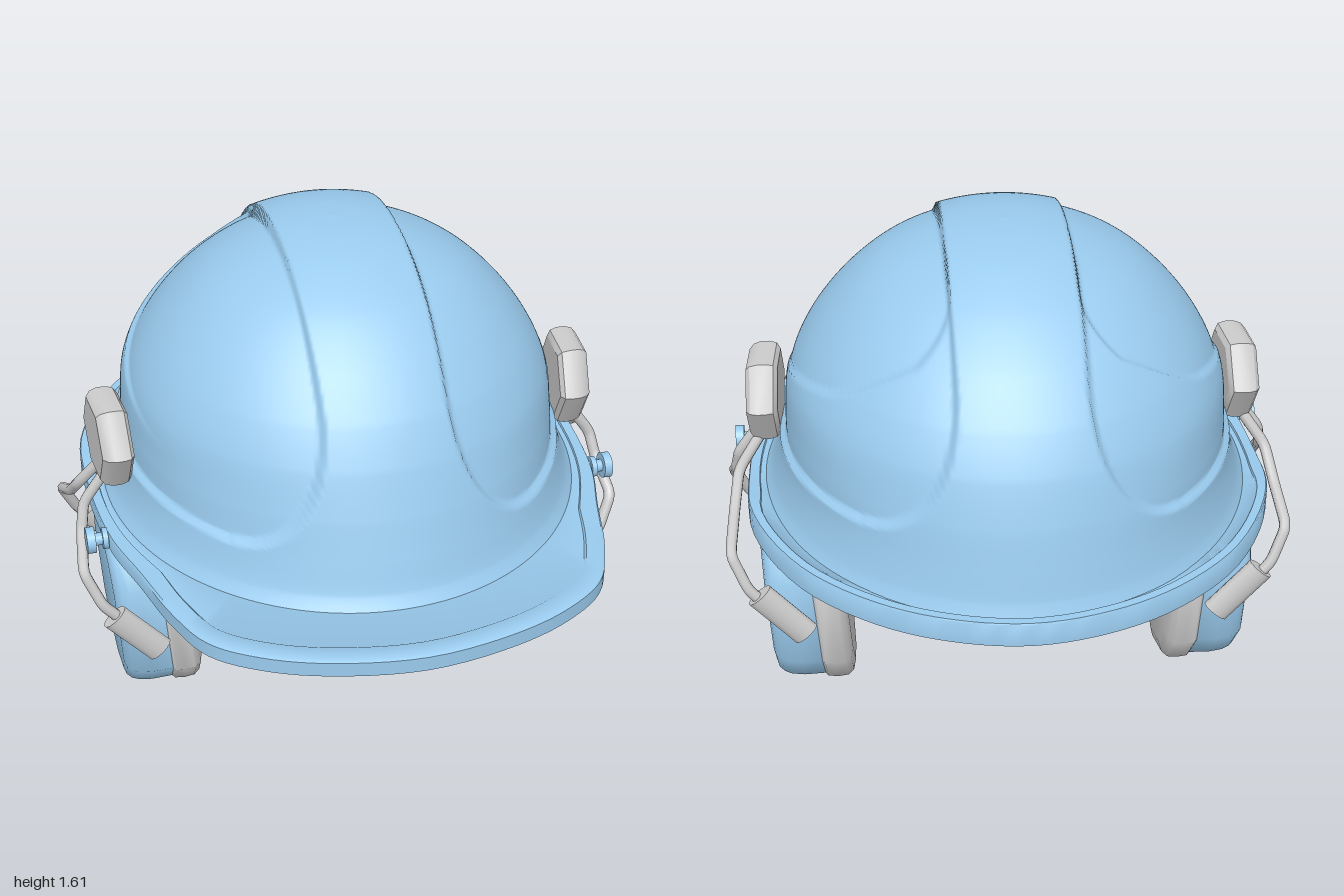
import * as THREE from 'three';
import { toCreasedNormals } from 'three/addons/utils/BufferGeometryUtils.js';

const V = (x, y, z) => new THREE.Vector3(x, y, z);
const grey = new THREE.MeshStandardMaterial({ color: 0xcccccc });
const blue = new THREE.MeshStandardMaterial({ color: 0x9acbee });
const blueOpen = new THREE.MeshStandardMaterial({ color: 0x9acbee, side: THREE.DoubleSide });
const { smoothstep, clamp, lerp } = THREE.MathUtils;

function add(parent, name, geometry, material) {
  const mesh = new THREE.Mesh(geometry, material);
  mesh.name = name;
  parent.add(mesh);
  return mesh;
}

// Skins closed rings of points; faces are turned outward by the sign of the volume
function loft(rings, { caps = false, closed = false, crease = 0 } = {}) {
  const n = rings[0].length, pts = rings.flat(), tris = [];
  const last = closed ? rings.length : rings.length - 1;
  for (let i = 0; i < last; i++) {
    for (let j = 0; j < n; j++) {
      const k = (j + 1) % n, p = i * n, q = ((i + 1) % rings.length) * n;
      tris.push([p + j, q + j, q + k], [p + j, q + k, p + k]);
    }
  }
  if (caps) {
    for (const i of [0, rings.length - 1]) {
      const c = pts.length;
      pts.push(rings[i].reduce((s, p) => s.add(p), V(0, 0, 0)).divideScalar(n));
      for (let j = 0; j < n; j++) {
        const a = i * n + j, b = i * n + (j + 1) % n;
        tris.push(i === 0 ? [c, a, b] : [c, b, a]);
      }
    }
  }
  const mid = pts.reduce((s, p) => s.add(p), V(0, 0, 0)).divideScalar(pts.length);
  const rel = (i) => pts[i].clone().sub(mid);
  const volume = tris.reduce((s, [a, b, c]) => s + rel(a).dot(rel(b).cross(rel(c))), 0);
  if (volume < 0) tris.forEach((t) => t.reverse());
  const g = new THREE.BufferGeometry().setFromPoints(pts);
  g.setIndex(tris.flat());
  g.computeVertexNormals();
  return crease ? toCreasedNormals(g, crease) : g;
}

// Distance inside a corner with an elliptical fillet (positive is inside)
function filletCorner(u, v, ru, rv) {
  if (u < ru && v < rv) return (1 - Math.hypot(1 - u / ru, 1 - v / rv)) * Math.min(ru, rv);
  return Math.min(u, v);
}

// Dome sections: height, half width, front z, back z
const SECTIONS = [
  [0.735, 0.77, 0.78, -0.94], [0.79, 0.738, 0.745, -0.92], [0.88, 0.712, 0.715, -0.9],
  [1.0, 0.705, 0.675, -0.872], [1.14, 0.69, 0.62, -0.825], [1.26, 0.637, 0.555, -0.76],
  [1.39, 0.54, 0.45, -0.652], [1.5, 0.415, 0.32, -0.515], [1.58, 0.245, 0.155, -0.355],
  [1.608, 0.125, 0.03, -0.23], [1.617, 0.0004, -0.0996, -0.1004],
];
const widthCurve = new THREE.CatmullRomCurve3(SECTIONS.map(([y, w]) => V(w, y, 0)));
const depthCurve = new THREE.CatmullRomCurve3(SECTIONS.map(([, , f, b]) => V(f, b, 0)));
const LINING = 0.946;

function domePoint(t, a, scale = 1) {
  const w = widthCurve.getPoint(t), d = depthCurve.getPoint(t);
  const zc = (d.x + d.y) / 2, rz = (d.x - d.y) / 2;
  return V(w.x * scale * Math.cos(a), 0.7 + (w.y - 0.7) * scale, zc + rz * scale * Math.sin(a));
}

// Recessed side panels beside the crown ridge, with a deeper upper step that fades forward
function recess(p) {
  const side = Math.abs(p.x) - 0.185;
  const panel = filletCorner(side, p.y - (0.91 - 0.04 * p.z), 0.29, 0.42);
  const line = p.y - (1.05 + (0.28 - p.z) * 0.25);
  const step = Math.min(filletCorner(p.z + 0.58, line, 0.15, 0.18), filletCorner(side, p.z + 0.58, 0.17, 0.17));
  const depth = 0.02 * smoothstep(panel, 0, 0.015)
    + 0.014 * smoothstep(0.28 - p.z, 0, 0.6) * smoothstep(step, 0, 0.02);
  const out = p.clone().sub(V(0, 0.8, -0.08)).normalize();
  return p.addScaledVector(out, -depth);
}

function domeRings(rows, cols, scale, shape = (p) => p) {
  return Array.from({ length: rows + 1 }, (_, i) =>
    Array.from({ length: cols }, (_, j) => shape(domePoint(i / rows, (j / cols) * Math.PI * 2, scale))));
}

// Brim: right half of the outline, mirrored, hollow below, with a lip that becomes a rain gutter behind
function brimGeometry() {
  const half = [[0, 1], [0.286, 0.955], [0.47, 0.88], [0.6, 0.78], [0.675, 0.62], [0.735, 0.4], [0.79, 0.2],
    [0.815, -0.1], [0.8, -0.36], [0.656, -0.66], [0.444, -0.857], [0.23, -0.96], [0, -1]];
  const outline = [...half, ...half.slice(1, -1).reverse().map(([x, z]) => [-x, z])];
  const curve = new THREE.CatmullRomCurve3(outline.map(([x, z]) => V(x, 0, z)), true, 'centripetal');
  const rings = Array.from({ length: 120 }, (_, i) => {
    const o = curve.getPoint(i / 120);
    const a = Math.atan2((o.z + 0.08) / 0.86, o.x / 0.77);
    const inner = domePoint(0, a, LINING), wall = domePoint(0, a, 0.985);
    const back = smoothstep(-o.z, 0, 0.4);
    const gutter = smoothstep(-o.z, 0.76, 0.87);
    const gap = Math.hypot(o.x - wall.x, o.z - wall.z);
    const lip = clamp(lerp(0.065, 0.03, back) / gap, 0, 0.6);
    const edge = clamp(0.025 / gap, 0, 0.35);
    const at = (p, k, y) => V(lerp(o.x, p.x, k), y, lerp(o.z, p.z, k));
    const top = 0.753 + 0.024 * back;
    return [
      at(inner, 1, inner.y), at(inner, edge * 2, 0.722), at(inner, edge, 0.7), at(inner, 0, 0.7),
      at(wall, 0, top - 0.006), at(wall, 0.05, top), at(wall, lip, top),
      at(wall, Math.min(lip + 0.04, 0.9), top - 0.007 - 0.023 * gutter), at(wall, 1, 0.75),
    ];
  });
  return loft(rings, { closed: true, crease: 0.75 });
}

// Ear cup outline (z, y), and layers of [x, scale]
const CUP = [[-0.06, 0.685], [-0.27, 0.615], [-0.345, 0.49], [-0.345, 0.17], [-0.27, 0.06],
  [-0.1, 0.005], [0.08, 0.06], [0.165, 0.16], [0.17, 0.5], [0.1, 0.615]];
const PAD = [[0.522, 0.84], [0.532, 0.94], [0.552, 0.99], [0.585, 1], [0.617, 0.99], [0.628, 0.95]];
const SHELL = [[0.62, 0.96], [0.69, 0.965], [0.73, 0.95], [0.755, 0.92], [0.77, 0.87], [0.776, 0.8]];
const HUB = [[0.7, 0.84], [0.712, 0.96], [0.735, 1], [0.762, 1], [0.785, 0.95], [0.798, 0.84]];

// Scales an outline about (cz, cy) per layer; lean and yaw shear it along x
function layered(s, outline, layers, cy, cz, lean, yaw = 0) {
  return layers.map(([x, k]) => outline.map(([z, y]) => {
    const dy = (y - cy) * k, dz = (z - cz) * k;
    return V(s * (x + dy * lean + dz * yaw), cy + dy, cz + dz);
  }));
}

// Straight wire segments with tightly rounded bends
function wireGeometry(points) {
  const path = new THREE.CurvePath();
  let from = points[0];
  for (let i = 1; i < points.length - 1; i++) {
    const p = points[i];
    const a = p.clone().lerp(points[i - 1], 0.2), b = p.clone().lerp(points[i + 1], 0.2);
    path.add(new THREE.LineCurve3(from, a));
    path.add(new THREE.QuadraticBezierCurve3(a, p, b));
    from = b;
  }
  path.add(new THREE.LineCurve3(from, points.at(-1)));
  return new THREE.TubeGeometry(path, 48, 0.018, 8);
}

function earDefender(s) {
  const group = new THREE.Group();
  group.name = s > 0 ? 'leftEarDefender' : 'rightEarDefender';
  add(group, 'earPad', loft(layered(s, CUP, PAD, 0.345, -0.085, 0.075), { caps: true, crease: 0.8 }), grey);
  add(group, 'earCup', loft(layered(s, CUP, SHELL, 0.345, -0.085, 0.06), { caps: true, crease: 0.8 }), blue);

  // Hexagonal pivot
  const hex = Array.from({ length: 6 }, (_, i) =>
    [0.005 + 0.155 * Math.cos(i * Math.PI / 3), 1 + 0.155 * Math.sin(i * Math.PI / 3)]);
  add(group, 'pivotHub', loft(layered(s, hex, HUB, 1, 0.005, 0, -0.08), { caps: true, crease: 0.6 }), grey);

  // Two bent wires, each ending in a flattened sleeve
  const zPaths = [[0.012, 0.015, 0.05, 0.165, 0.2, 0.2], [-0.04, -0.1, -0.19, -0.335, -0.37, -0.375]];
  const xy = [[0.74, 0.92], [0.845, 0.775], [0.862, 0.69], [0.878, 0.61], [0.83, 0.5], [0.77, 0.43]];
  zPaths.forEach((zs, i) => {
    const name = i ? 'rear' : 'front';
    add(group, name + 'Wire', wireGeometry(xy.map(([x, y], k) => V(s * x, y, zs[k]))), grey);
    const sleeve = add(group, name + 'Sleeve', new THREE.CylinderGeometry(0.047, 0.047, 0.21, 12), grey);
    sleeve.scale.z = 0.6;
    sleeve.position.set(s * 0.727, 0.37 + 0.03 * i, zs[5]);
    sleeve.rotation.z = -s * 0.72;
  });

  // Knob on the brim: shaft, collar and head
  for (const [name, r, from, to] of [['knobShaft', 0.02, 0.76, 0.84], ['knobCollar', 0.034, 0.795, 0.812],
    ['knobHead', 0.042, 0.835, 0.862]]) {
    const knob = add(group, name, new THREE.CylinderGeometry(r, r, to - from, 16), blue);
    knob.rotation.z = Math.PI / 2;
    knob.position.set(s * (from + to) / 2, 0.732, 0.165);
  }
  return group;
}

export function createModel() {
  const model = new THREE.Group();
  model.name = 'safetyHelmet';
  add(model, 'helmetShell', loft(domeRings(130, 340, 1, recess)), blueOpen);
  add(model, 'helmetLining', loft(domeRings(32, 120, LINING)), blueOpen);
  add(model, 'brim', brimGeometry(), blue);
  model.add(earDefender(1), earDefender(-1));
  return model;
}
